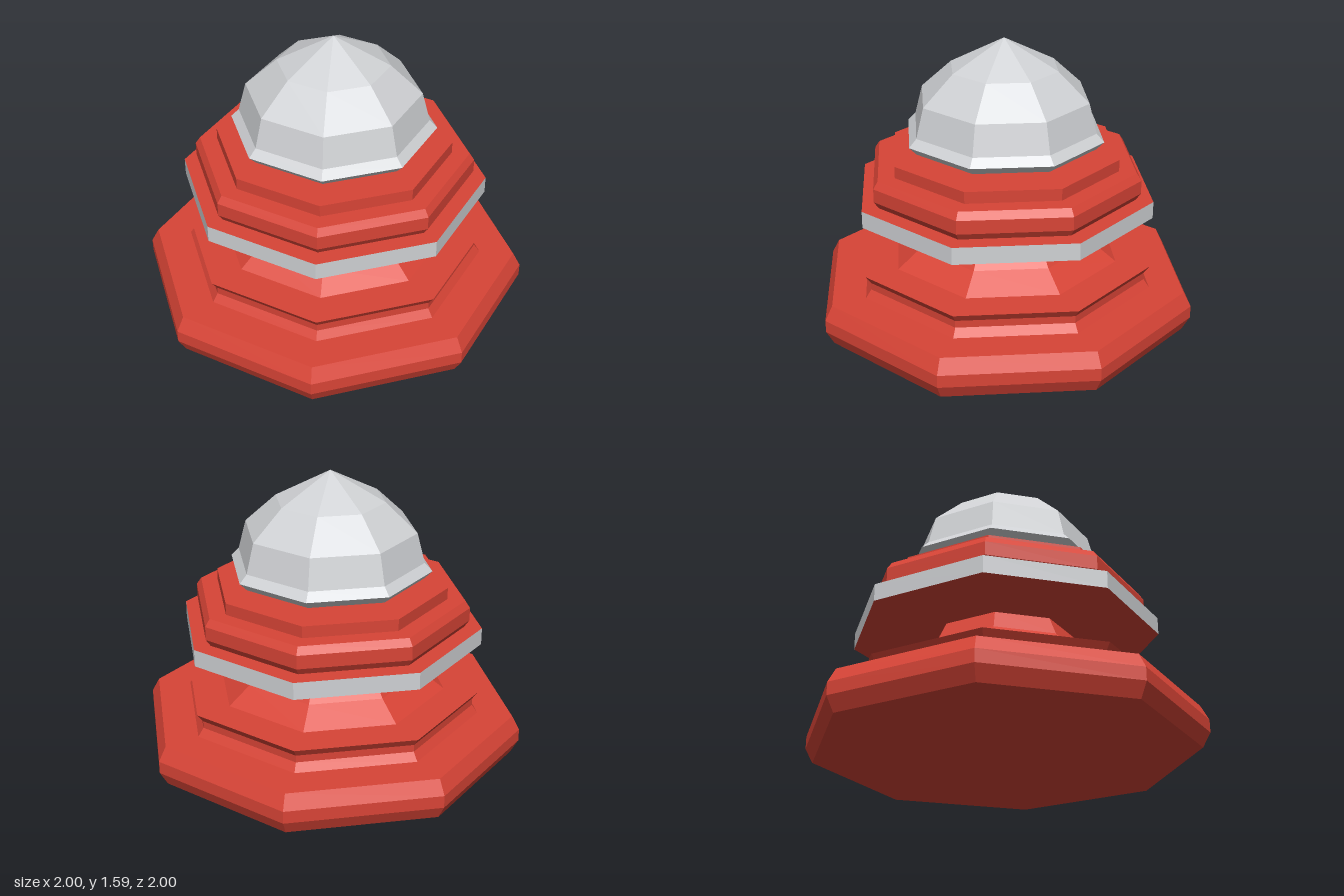
import * as THREE from 'three';

// Octagonal lathe with flats facing the axes; points are [apothem, y] from bottom to top
function octagon(points) {
  const k = 1 / Math.cos(Math.PI / 8);
  const profile = points.map(([a, y]) => new THREE.Vector2(a * k, y));
  const geometry = new THREE.LatheGeometry(profile, 8, Math.PI / 8).toNonIndexed();
  geometry.computeVertexNormals(); // one normal per face
  return geometry;
}

export function createModel() {
  const red = new THREE.MeshStandardMaterial({ color: 0xd84436 });
  red.name = 'red';
  const grey = new THREE.MeshStandardMaterial({ color: 0xcfd1d4 });
  grey.name = 'light grey';

  const parts = [
    // Wide bevelled foot
    ['base', red, [[0, 0], [0.96, 0], [1, 0.08], [1, 0.15], [0.96, 0.23], [0, 0.23]]],
    // Narrow-waisted step
    ['lowerStep', red, [[0.78, 0.23], [0.75, 0.275], [0.75, 0.315], [0.78, 0.36], [0, 0.36]]],
    // Concave neck
    ['neck', red, [[0.6, 0.36], [0.48, 0.455], [0.405, 0.55], [0.36, 0.655]]],
    // Slab: red faces with a grey rim
    ['slabBottom', red, [[0, 0.655], [0.78, 0.655]]],
    ['slabRim', grey, [[0.78, 0.655], [0.78, 0.75]]],
    ['slabTop', red, [[0.78, 0.75], [0, 0.75]]],
    // Bevelled cushion and collar
    ['cushion', red, [[0.69, 0.75], [0.715, 0.79], [0.715, 0.865], [0.69, 0.905], [0, 0.905]]],
    ['collar', red, [[0.6, 0.905], [0.6, 0.97], [0, 0.97]]],
    // Faceted dome with a flared lip
    ['dome', grey, [[0.36, 0.97], [0.48, 1.015], [0.52, 1.06], [0.48, 1.105],
      [0.44, 1.27], [0.28, 1.43], [0, 1.59]]],
  ];

  const model = new THREE.Group();
  model.name = 'domedPedestal';
  for (const [name, material, points] of parts) {
    const mesh = new THREE.Mesh(octagon(points), material);
    mesh.name = name;
    model.add(mesh);
  }
  return model;
}
